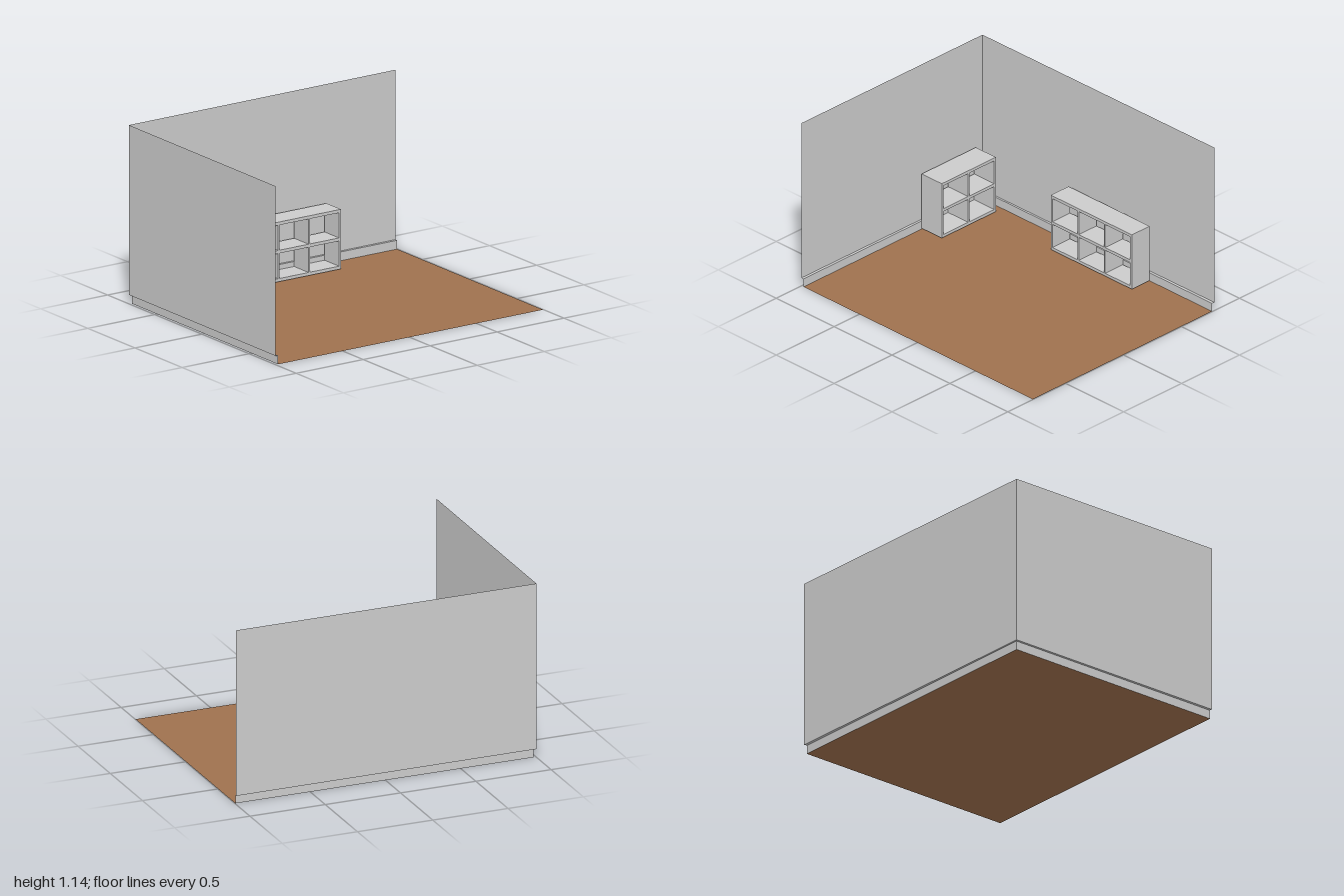
import * as THREE from 'three';

const grey = new THREE.MeshStandardMaterial({ color: 0xcccccc, side: THREE.DoubleSide });
const brown = new THREE.MeshStandardMaterial({ color: 0x9f714e, side: THREE.DoubleSide });

// Plan lines [x, z] from the left front, round the back corner, to the right
const wallPlan = [[-1, 0.782], [-0.997, -0.778], [1, -0.785]];
const skirtPlan = [[-0.982, 0.782], [-0.982, -0.766], [0.997, -0.766]];
const skirtTop = 0.056;
const wallTop = 1.14;

// Flat panels between a lower plan line and an upper one
function band(name, lower, y0, upper, y1) {
  const pos = [];
  for (let i = 0; i < lower.length - 1; i++) {
    const at = (plan, k, y) => [plan[k][0], y, plan[k][1]];
    const a = at(lower, i, y0), b = at(lower, i + 1, y0);
    const c = at(upper, i + 1, y1), d = at(upper, i, y1);
    pos.push(...a, ...b, ...c, ...a, ...c, ...d);
  }
  const geo = new THREE.BufferGeometry();
  geo.setAttribute('position', new THREE.Float32BufferAttribute(pos, 3));
  geo.computeVertexNormals();
  const mesh = new THREE.Mesh(geo, grey);
  mesh.name = name;
  return mesh;
}

// Open-backed shelf unit: a rectangle pierced by a grid of cells, extruded to its depth
function shelfUnit(name, width, depth, cols) {
  const height = 0.381, side = 0.014, divider = 0.011, board = 0.02, rows = 2;
  const cellW = (width - 2 * side - (cols - 1) * divider) / cols;
  const cellH = (height - (rows + 1) * board) / rows;
  const rect = (path, x, y, w, h) => path.moveTo(x, y).lineTo(x + w, y)
    .lineTo(x + w, y + h).lineTo(x, y + h).closePath();
  const shape = new THREE.Shape();
  rect(shape, -width / 2, 0, width, height);
  for (let c = 0; c < cols; c++) {
    for (let r = 0; r < rows; r++) {
      const hole = new THREE.Path();
      rect(hole, -width / 2 + side + c * (cellW + divider), board + r * (cellH + board), cellW, cellH);
      shape.holes.push(hole);
    }
  }
  const geo = new THREE.ExtrudeGeometry(shape, { depth, bevelEnabled: false });
  const mesh = new THREE.Mesh(geo, grey);
  mesh.name = name;
  return mesh;
}

export function createModel() {
  const room = new THREE.Group();
  room.name = 'roomCorner';

  // Floor
  const [x0, x1, z0, z1] = [-0.982, 0.997, -0.766, 0.782];
  const floor = new THREE.Mesh(new THREE.PlaneGeometry(x1 - x0, z1 - z0).rotateX(-Math.PI / 2), brown);
  floor.name = 'floor';
  floor.position.set((x0 + x1) / 2, 0, (z0 + z1) / 2);
  room.add(floor);

  // Walls, with the skirting stepped inwards below them
  room.add(
    band('walls', wallPlan, skirtTop, wallPlan, wallTop),
    band('skirtingLedge', skirtPlan, skirtTop, wallPlan, skirtTop),
    band('skirting', skirtPlan, 0, skirtPlan, skirtTop),
  );

  // Wide shelf against the back wall
  const backShelf = shelfUnit('backShelf', 0.7, 0.153, 3);
  backShelf.position.set(0.115, 0.007, -0.759);
  room.add(backShelf);

  // Narrow shelf against the side wall, opening towards +x
  const sideShelf = shelfUnit('sideShelf', 0.467, 0.173, 2);
  sideShelf.rotation.y = Math.PI / 2;
  sideShelf.position.set(-0.979, 0.007, -0.469);
  room.add(sideShelf);

  return room;
}
